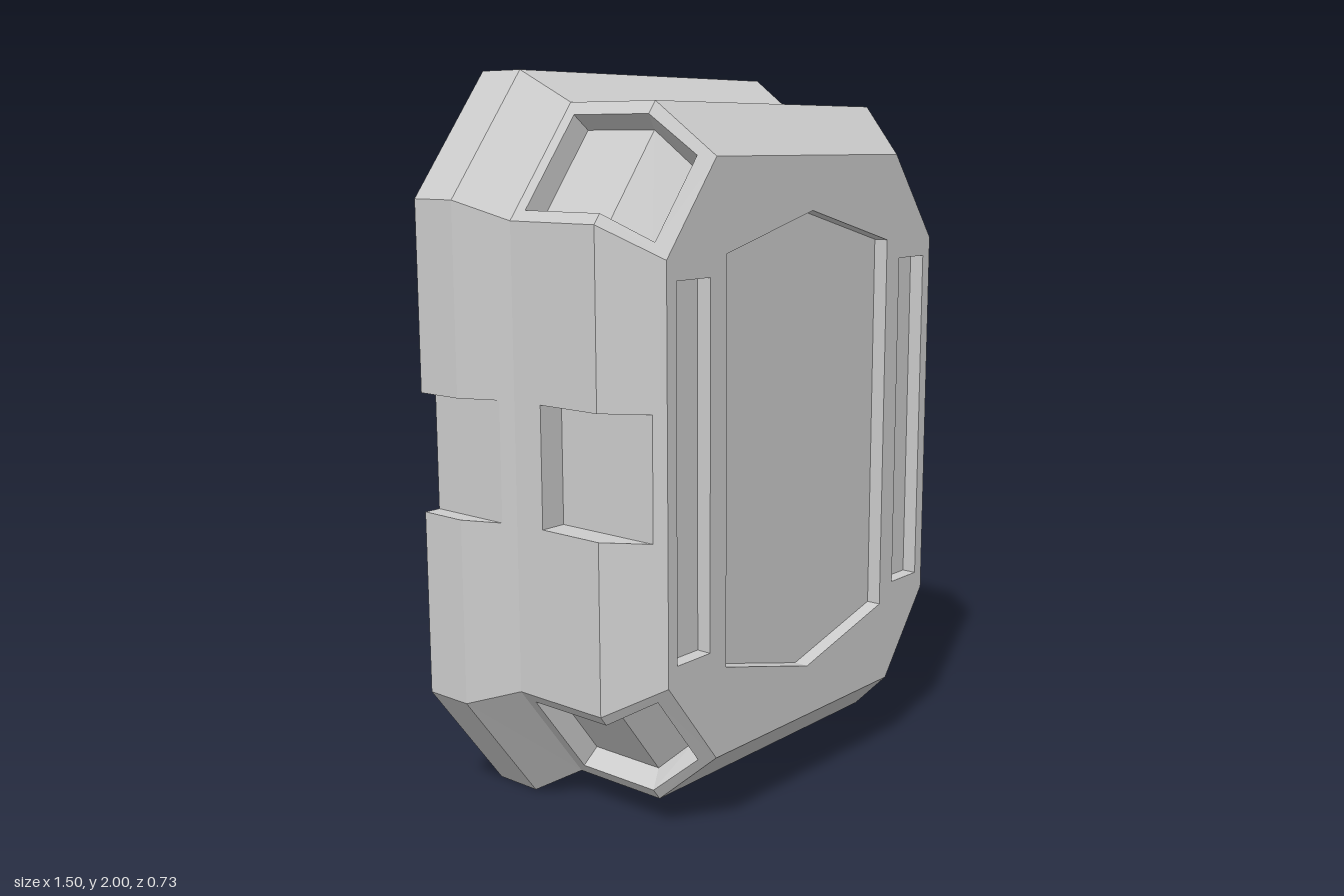
import * as THREE from 'three';

const V = (x, y, z) => new THREE.Vector3(x, y, z);
const material = new THREE.MeshStandardMaterial({ color: 0xcccccc, flatShading: true, side: THREE.DoubleSide });

// Octagonal rings from open back to front: half width w, half height h, cut corner at (cx, h) and (w, cy)
const rings = [
  { z: -0.363, w: 0.75, h: 1.0, cx: 0.503, cy: 0.67 },
  { z: -0.22, w: 0.75, h: 1.0, cx: 0.503, cy: 0.67 },
  { z: -0.075, w: 0.685, h: 0.915, cx: 0.463, cy: 0.62 },
  { z: 0.217, w: 0.685, h: 0.915, cx: 0.463, cy: 0.62 },
  { z: 0.363, w: 0.59, h: 0.78, cx: 0.402, cy: 0.537 },
];
const [BACK, FLARE, NECK, FOLD, FRONT] = rings.map((r) => r.z);
const NOTCH = 0.162; // half height of the side notches

// Ring dimensions at any depth z
function ringAt(z) {
  let i = 0;
  while (i < rings.length - 2 && z > rings[i + 1].z) i++;
  const a = rings[i], b = rings[i + 1], t = (z - a.z) / (b.z - a.z);
  const mix = (k) => a[k] + (b[k] - a[k]) * t;
  return { w: mix('w'), h: mix('h'), cx: mix('cx'), cy: mix('cy') };
}
// Points on the top, corner (u = 0..1) and side faces
const top = (x, z) => V(x, ringAt(z).h, z);
const corner = (u, z) => {
  const r = ringAt(z);
  return V(r.cx + (r.w - r.cx) * u, r.h + (r.cy - r.h) * u, z);
};
const side = (y, z) => V(ringAt(z).w, y, z);
const sideEnd = (z) => corner(1, z);

// Geometry from flat polygons, concave allowed
function polygons(list, sx = 1, sy = 1) {
  const pos = [];
  for (const poly of list) {
    const n = V(0, 0, 0);
    poly.forEach((p, i) => n.add(p.clone().cross(poly[(i + 1) % poly.length])));
    n.normalize();
    const u = poly[1].clone().sub(poly[0]).normalize();
    const v = n.clone().cross(u);
    const flat = poly.map((p) => new THREE.Vector2(p.dot(u), p.dot(v)));
    for (const tri of THREE.ShapeUtils.triangulateShape(flat, [])) {
      if (sx * sy < 0) tri.reverse();
      for (const k of tri) pos.push(poly[k].x * sx, poly[k].y * sy, poly[k].z);
    }
  }
  const g = new THREE.BufferGeometry();
  g.setAttribute('position', new THREE.Float32BufferAttribute(pos, 3));
  g.computeVertexNormals();
  return g;
}

// One quarter of the wall, with openings for the pockets and notches
function wallQuarter() {
  const faces = [];
  for (let i = 0; i < 4; i++) {
    const a = rings[i].z, b = rings[i + 1].z;
    faces.push([top(0, b), top(rings[i + 1].cx, b), top(rings[i].cx, a), top(0, a)]);
    if (i < 2) faces.push([corner(0, b), corner(1, b), corner(1, a), corner(0, a)]);
  }
  // corner faces around the pocket
  faces.push([corner(0, NECK), corner(0, FOLD), corner(U0, FOLD), corner(U0, P0), corner(U1, P0),
    corner(U1, FOLD), corner(1, FOLD), corner(1, NECK)]);
  faces.push([corner(0, FOLD), corner(0, FRONT), corner(1, FRONT), corner(1, FOLD), corner(U1, FOLD),
    corner(U1, P1), corner(U0, P1), corner(U0, FOLD)]);
  // side faces around the rim notch and side pocket
  const m = NOTCH;
  faces.push([sideEnd(BACK), sideEnd(FLARE), side(m, FLARE), side(m, BACK)]);
  faces.push([sideEnd(FLARE), sideEnd(NECK), side(0, NECK), side(0, RIM_Z), side(m, RIM_Z), side(m, FLARE)]);
  faces.push([sideEnd(NECK), sideEnd(FOLD), side(m, FOLD), side(m, S0), side(0, S0), side(0, NECK)]);
  faces.push([sideEnd(FOLD), sideEnd(FRONT), side(0, FRONT), side(0, S1), side(m, S1), side(m, FOLD)]);
  return faces;
}

// Corner pocket: the floor follows the folded face at a constant depth
const U0 = 0.11, U1 = 0.91, P0 = -0.04, P1 = 0.33;
function cornerPocket() {
  const d = 0.064;
  const shift = [V(-0.795 * d, -0.606 * d, 0), V(-0.795 * d, -0.606 * d, -0.42 * d),
    V(-0.58 * d, -0.445 * d, -0.68 * d)];
  const rim = [U0, U1].map((u) => [P0, FOLD, P1].map((z) => corner(u, z)));
  const floor = rim.map((row) => row.map((p, i) => p.clone().add(shift[i])));
  const faces = [];
  for (let i = 0; i < 2; i++) {
    faces.push([floor[0][i], floor[0][i + 1], floor[1][i + 1], floor[1][i]]);
    faces.push([rim[0][i], rim[0][i + 1], floor[0][i + 1], floor[0][i]]);
    faces.push([rim[1][i + 1], rim[1][i], floor[1][i], floor[1][i + 1]]);
  }
  for (const i of [0, 2]) faces.push([rim[0][i], rim[1][i], floor[1][i], floor[0][i]]);
  return faces;
}

// Upper half of the side pocket, open through the front chamfer
const S0 = 0.02, SIDE_X = 0.61, S1 = FOLD + (FRONT - FOLD) * (0.685 - SIDE_X) / 0.095;
function sidePocket() {
  const x = SIDE_X, m = NOTCH, w = 0.685;
  return [
    [V(x, 0, S0), V(x, m, S0), V(x, m, S1), V(x, 0, S1)],
    [V(x, 0, S0), V(w, 0, S0), V(w, m, S0), V(x, m, S0)],
    [V(x, m, S0), V(w, m, S0), V(w, m, FOLD), V(x, m, S1)],
  ];
}

// Upper half of the notch cut in the flared rim
const RIM_X = 0.702, RIM_Z = FLARE + (NECK - FLARE) * (0.75 - RIM_X) / 0.065;
function rimNotch() {
  const x = RIM_X, m = NOTCH;
  return [
    [V(x, 0, BACK), V(x, m, BACK), V(x, m, RIM_Z), V(x, 0, RIM_Z)],
    [V(x, m, BACK), V(0.75, m, BACK), V(0.75, m, FLARE), V(x, m, RIM_Z)],
  ];
}

export function createModel() {
  const group = new THREE.Group();
  const add = (name, geometry) => {
    const mesh = new THREE.Mesh(geometry, material);
    mesh.name = name;
    mesh.position.y = 1;
    group.add(mesh);
  };

  // Mirrored quarters
  const parts = { shellWall: wallQuarter(), cornerPocket: cornerPocket(), sidePocket: sidePocket(), rimNotch: rimNotch() };
  for (const sx of [1, -1]) for (const sy of [1, -1])
    for (const [name, faces] of Object.entries(parts)) add(name, polygons(faces, sx, sy));

  // Front plate with the openings of the three recesses
  const f = rings[4];
  const outline = [[f.cx, f.h], [-f.cx, f.h], [-f.w, f.cy], [-f.w, -f.cy], [-f.cx, -f.h], [f.cx, -f.h], [f.w, -f.cy], [f.w, f.cy]];
  const slot = (s) => [[0.427, 0.485], [0.555, 0.485], [0.555, -0.485], [0.427, -0.485]].map(([x, y]) => [x * s, y]);
  const recesses = {
    centrePanel: [[0, 0.635], [0.362, 0.54], [0.362, -0.54], [0, -0.635], [-0.362, -0.54], [-0.362, 0.54]],
    leftSlot: slot(1),
    rightSlot: slot(-1),
  };
  const points = (list) => list.map(([x, y]) => new THREE.Vector2(x, y));
  const plate = new THREE.Shape(points(outline));
  plate.holes = Object.values(recesses).map((r) => new THREE.Path(points(r)));
  add('frontPlate', new THREE.ShapeGeometry(plate).translate(0, 0, FRONT));

  // Recess floors and walls
  for (const [name, pts] of Object.entries(recesses)) {
    const z = FRONT - 0.042;
    const faces = [pts.map(([x, y]) => V(x, y, z))];
    pts.forEach(([x, y], i) => {
      const [x2, y2] = pts[(i + 1) % pts.length];
      faces.push([V(x, y, FRONT), V(x2, y2, FRONT), V(x2, y2, z), V(x, y, z)]);
    });
    add(name, polygons(faces));
  }
  return group;
}
